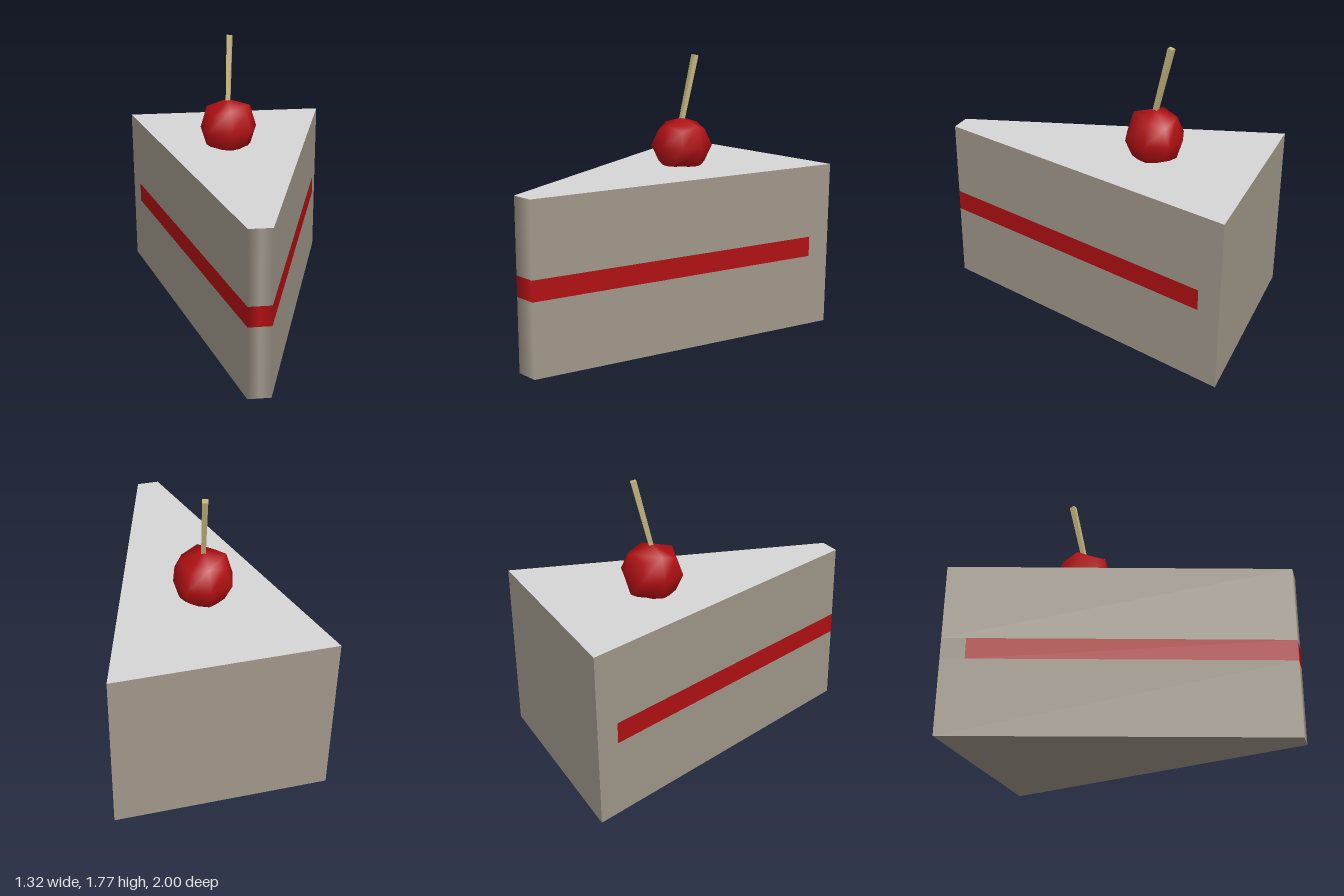
import * as THREE from 'three';
import { mergeVertices } from 'three/addons/utils/BufferGeometryUtils.js';

const H = 1.07, BAND_LOW = 0.47, BAND_HIGH = 0.6, BAND_END = -0.86;
const halfWidth = z => 0.07 + (0.66 - 0.07) * (1 - z) / 2;

export function createModel() {
  const group = new THREE.Group();
  const mat = (name, color) => {
    const m = new THREE.MeshStandardMaterial({ color });
    m.name = name;
    return m;
  };
  const sponge = mat('sponge', 0xa0978a);
  const icing = mat('icing', 0xd6d6d6);
  const red = mat('cherry red', 0xb01013);
  const wood = mat('stem tan', 0xc0b27c);

  const add = (name, geometry, material) => {
    const mesh = new THREE.Mesh(geometry, material);
    mesh.name = name;
    group.add(mesh);
    return mesh;
  };

  // Vertical wall along a path of [x, z, normalX, normalZ]
  const wall = (path, y0, y1) => {
    const pos = [], nor = [], idx = [];
    path.forEach(([x, z, nx, nz], i) => {
      pos.push(x, y0, z, x, y1, z);
      nor.push(nx, 0, nz, nx, 0, nz);
      const a = i * 2;
      if (i) idx.push(a - 2, a, a + 1, a - 2, a + 1, a - 1);
    });
    const g = new THREE.BufferGeometry();
    g.setAttribute('position', new THREE.Float32BufferAttribute(pos, 3));
    g.setAttribute('normal', new THREE.Float32BufferAttribute(nor, 3));
    g.setIndex(idx);
    return g;
  };
  const n = new THREE.Vector2(2, 0.59).normalize();
  const side = (s, z) => [s * halfWidth(z), z, s * n.x, n.y];
  // Both sides joined around the softly shaded tip
  const around = z => [side(-1, z), side(-1, 1), [0, 1, 0, 1], side(1, 1), side(1, z)];

  // Sponge layers and the filling between them
  add('lowerSponge', wall(around(-1), 0, BAND_LOW), sponge);
  add('upperSponge', wall(around(-1), BAND_HIGH, H), sponge);
  add('filling', wall(around(BAND_END), BAND_LOW, BAND_HIGH), red);
  add('leftFillingEnd', wall([side(1, BAND_END), side(1, -1)], BAND_LOW, BAND_HIGH), sponge);
  add('rightFillingEnd', wall([side(-1, -1), side(-1, BAND_END)], BAND_LOW, BAND_HIGH), sponge);
  add('backWall', wall([[0.66, -1, 0, -1], [-0.66, -1, 0, -1]], 0, H), sponge);

  // Top icing and underside
  const slice = new THREE.Shape([[-0.66, 1], [-0.07, -1], [0.07, -1], [0.66, 1]]
    .map(([x, y]) => new THREE.Vector2(x, y)));
  add('icingTop', new THREE.ShapeGeometry(slice).rotateX(-Math.PI / 2).translate(0, H, 0), icing);
  const under = new THREE.Shape([[-0.66, -1], [0.66, -1], [0.07, 1], [-0.07, 1]]
    .map(([x, y]) => new THREE.Vector2(x, y)));
  add('underside', new THREE.ShapeGeometry(under).rotateX(Math.PI / 2), sponge);

  // Cherry: a rounded cube with two divisions per side
  let ball = new THREE.BoxGeometry(2, 2, 2, 2, 2, 2);
  ball.deleteAttribute('normal');
  ball.deleteAttribute('uv');
  ball = mergeVertices(ball);
  const p = ball.attributes.position, v = new THREE.Vector3();
  for (let i = 0; i < p.count; i++) {
    v.fromBufferAttribute(p, i);
    const extent = Math.round(v.lengthSq()); // 1 face centre, 2 edge, 3 corner
    v.multiplyScalar(0.18 * [0, 1, 0.77, 0.58][extent]);
    p.setXYZ(i, v.x, v.y, v.z);
  }
  ball.computeVertexNormals();
  add('cherry', ball, red).position.set(-0.04, 1.19, -0.34);

  // Leaning square stem
  const foot = new THREE.Vector3(-0.042, 1.33, -0.335), tip = new THREE.Vector3(-0.02, 1.765, -0.437);
  const dir = tip.clone().sub(foot);
  const stemGeo = new THREE.CylinderGeometry(0.024, 0.019, dir.length(), 4)
    .rotateY(Math.PI / 4 - 0.26).toNonIndexed();
  stemGeo.computeVertexNormals();
  const stem = add('stem', stemGeo, wood);
  stem.position.copy(foot).add(tip).multiplyScalar(0.5);
  stem.quaternion.setFromUnitVectors(new THREE.Vector3(0, 1, 0), dir.normalize());

  return group;
}
